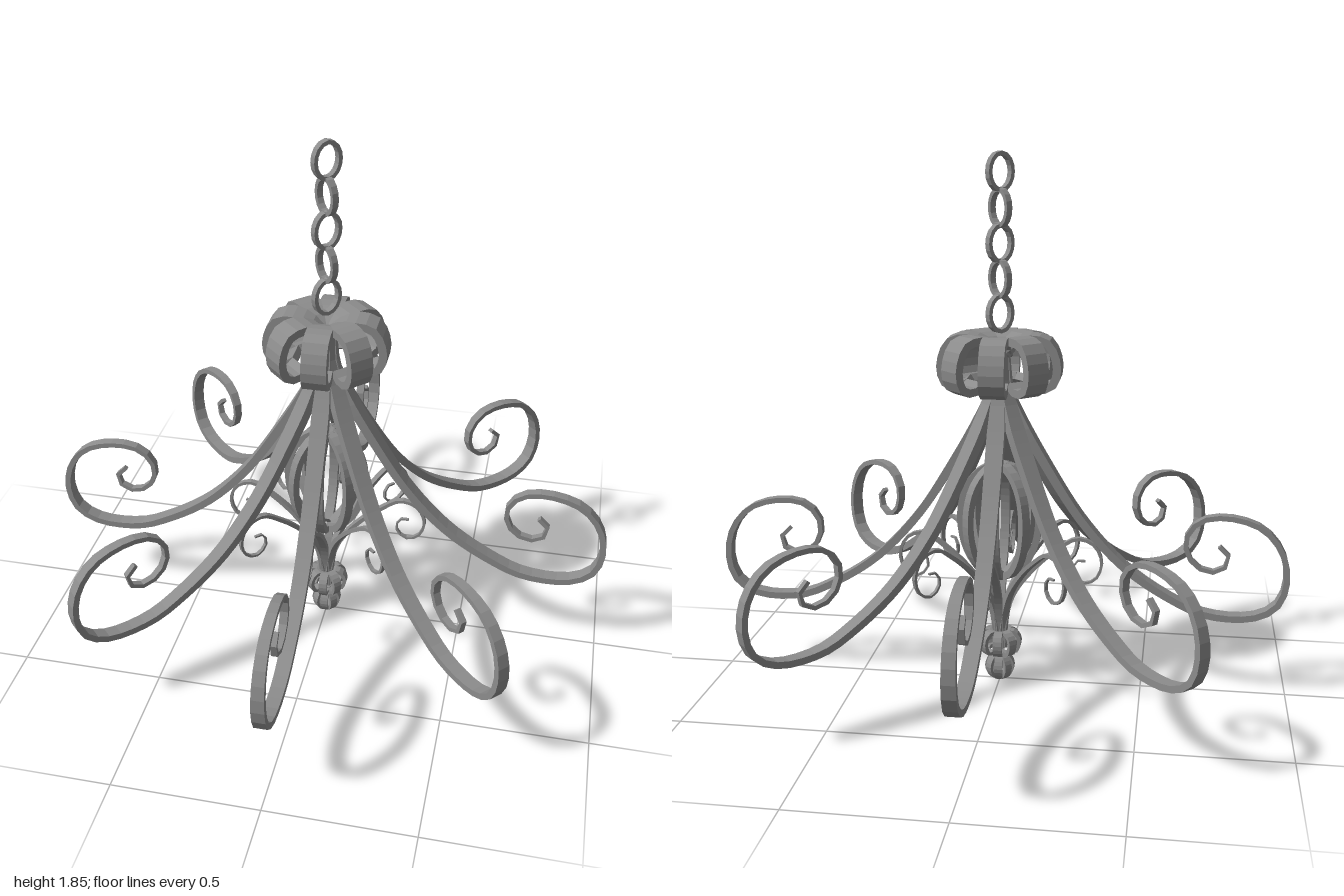
import * as THREE from 'three';

const material = new THREE.MeshStandardMaterial({ color: 0x8c8c8c, flatShading: true });

// Flat bar swept along a path of [radius, height] points; its width lies across the path
function ribbon(points, segments, widthAt, thicknessAt, closed = false) {
  const curve = new THREE.CatmullRomCurve3(
    points.map(([r, y]) => new THREE.Vector3(r, y, 0)), closed, 'centripetal');
  const pos = [], index = [];
  for (let i = 0; i <= segments; i++) {
    const t = i / segments;
    const p = curve.getPointAt(t), d = curve.getTangentAt(t);
    const w = widthAt(t) / 2, h = thicknessAt(t) / 2;
    for (const [a, b] of [[1, 1], [1, -1], [-1, -1], [-1, 1]]) {
      pos.push(p.x - d.y * h * a, p.y + d.x * h * a, w * b);
    }
  }
  for (let i = 0; i < segments; i++) {
    for (let k = 0; k < 4; k++) {
      const a = i * 4 + k, b = i * 4 + (k + 1) % 4;
      index.push(a, a + 4, b, b, a + 4, b + 4);
    }
  }
  if (!closed) {
    const e = segments * 4;
    index.push(0, 1, 2, 0, 2, 3, e, e + 2, e + 1, e, e + 3, e + 2);
  }
  const g = new THREE.BufferGeometry();
  g.setAttribute('position', new THREE.Float32BufferAttribute(pos, 3));
  g.setIndex(index);
  g.computeVertexNormals();
  return g;
}

// Repeat one part eight times around the vertical axis
function radial(name, geometry) {
  const group = new THREE.Group();
  group.name = name + 's';
  for (let i = 0; i < 8; i++) {
    const mesh = new THREE.Mesh(geometry, material);
    mesh.name = name;
    mesh.rotation.y = i * Math.PI / 4;
    group.add(mesh);
  }
  return group;
}

const oval = (rx, ry, n = 12) => Array.from({ length: n }, (_, i) => {
  const a = i / n * Math.PI * 2;
  return [rx * Math.cos(a), ry * Math.sin(a)];
});
const taper = (a, b) => t => a + (b - a) * t;

export function createModel() {
  const model = new THREE.Group();
  model.name = 'chandelier';

  // Long arms sweeping down and curling up into scrolls
  const arm = [
    [0.015, 1.18], [0.027, 1.06], [0.065, 0.97], [0.16, 0.8], [0.29, 0.6], [0.44, 0.44],
    [0.6, 0.335], [0.72, 0.285], [0.88, 0.284], [0.958, 0.33], [0.987, 0.42],
    [0.965, 0.525], [0.895, 0.603], [0.77, 0.635], [0.685, 0.615], [0.643, 0.55],
    [0.66, 0.48], [0.71, 0.442], [0.765, 0.445], [0.792, 0.49], [0.757, 0.53]];
  const armWidth = t => t < 0.12 ? 0.03 + t * 0.25 : t < 0.65 ? 0.06 - (t - 0.12) * 0.03
    : 0.044 - (t - 0.65) * 0.07;
  model.add(radial('arm', ribbon(arm, 52, armWidth, taper(0.034, 0.014))));

  // Crown of broad folded bands
  const crown = [
    [0.0, 1.18], [0.05, 1.222], [0.11, 1.235], [0.165, 1.222], [0.193, 1.17],
    [0.197, 1.115], [0.175, 1.072], [0.13, 1.067], [0.1, 1.086]];
  model.add(radial('crownBand', ribbon(crown, 14, () => 0.085, () => 0.028)));

  // Oval cage in the middle
  model.add(radial('cageRib', ribbon(
    [[0.02, 0.79], [0.06, 0.775], [0.113, 0.715], [0.137, 0.61], [0.118, 0.49], [0.07, 0.415], [0.02, 0.39]],
    18, () => 0.032, () => 0.024)));

  // Small scrolls rising from the lower finial
  const scroll = [
    [0.01, 0.12], [0.018, 0.22], [0.05, 0.325], [0.12, 0.42], [0.2, 0.492], [0.27, 0.535],
    [0.33, 0.515], [0.357, 0.45], [0.335, 0.39], [0.29, 0.375], [0.257, 0.41],
    [0.268, 0.452], [0.3, 0.455]];
  model.add(radial('smallScroll', ribbon(scroll, 34, taper(0.032, 0.01), taper(0.02, 0.006))));

  // Lower finial: a small crown above a ribbed ball
  const collar = [
    [0.0, 0.165], [0.025, 0.18], [0.05, 0.18], [0.068, 0.16], [0.068, 0.13],
    [0.055, 0.108], [0.035, 0.112]];
  model.add(radial('finialBand', ribbon(collar, 12, () => 0.03, () => 0.013)));
  model.add(radial('finialBallRib', ribbon(
    [[0, 0.1], [0.03, 0.09], [0.047, 0.053], [0.03, 0.015], [0, 0.006]],
    12, () => 0.028, () => 0.01)));

  // Chain of oval links, alternately turned
  const chain = new THREE.Group();
  chain.name = 'chain';
  const linkGeometry = ribbon(oval(0.046, 0.06), 16, () => 0.022, () => 0.014, true);
  for (let i = 0; i < 5; i++) {
    const link = new THREE.Mesh(linkGeometry, material);
    link.name = 'chainLink';
    link.position.y = 1.783 - i * 0.117;
    link.rotation.y = (i % 2 ? -1 : 1) * Math.PI / 4;
    chain.add(link);
  }
  model.add(chain);

  return model;
}
